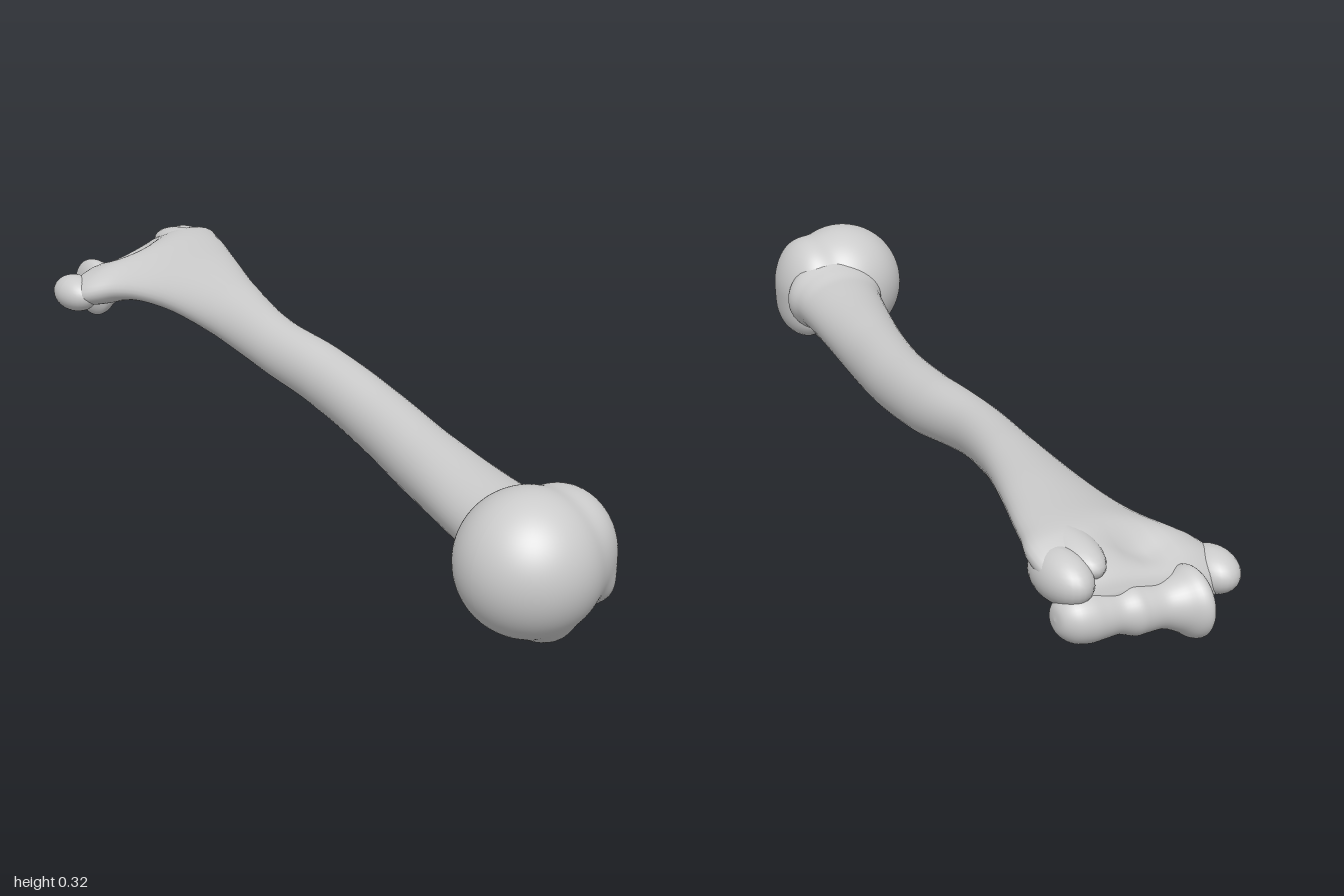
import * as THREE from 'three';

const material = new THREE.MeshStandardMaterial({ color: 0xcccccc });

function part(name, geometry) {
  geometry.computeVertexNormals();
  const mesh = new THREE.Mesh(geometry, material);
  mesh.name = name;
  return mesh;
}

// Shaft sections: z, left edge, right edge, bottom, top, tilt (rise of y per x)
const SECTIONS = [
  [0.86, -0.17, -0.07, 0.12, 0.2, 0],
  [0.8, -0.245, -0.015, 0.07, 0.25, 0],
  [0.75, -0.235, -0.015, 0.08, 0.238, 0],
  [0.7, -0.21, -0.01, 0.088, 0.227, 0],
  [0.6, -0.175, 0.005, 0.09, 0.227, 0],
  [0.4, -0.11, 0.04, 0.092, 0.235, 0],
  [0.2, -0.055, 0.08, 0.11, 0.25, 0],
  [0, -0.02, 0.105, 0.135, 0.27, 0],
  [-0.2, -0.005, 0.11, 0.165, 0.285, 0.1],
  [-0.4, 0.018, 0.16, 0.187, 0.3, 0.2],
  [-0.6, 0.025, 0.235, 0.202, 0.308, 0.22],
  [-0.7, 0.012, 0.275, 0.205, 0.308, 0.22],
  [-0.76, -0.01, 0.297, 0.2, 0.308, 0.22],
  [-0.82, -0.055, 0.32, 0.185, 0.303, 0.22],
  [-0.87, -0.065, 0.318, 0.175, 0.285, 0.2],
  [-0.91, -0.04, 0.3, 0.165, 0.255, 0.17],
  [-0.93, 0.04, 0.25, 0.18, 0.22, 0.1],
];

function shaftGeometry(rings = 110, sides = 40) {
  // Two curves carry the section numbers smoothly along the bone
  const edges = new THREE.CatmullRomCurve3(SECTIONS.map((s) => new THREE.Vector3(s[1], s[2], s[0])), false, 'centripetal');
  const heights = new THREE.CatmullRomCurve3(SECTIONS.map((s) => new THREE.Vector3(s[3], s[4], s[5])), false, 'centripetal');
  const pos = [], index = [];
  for (let i = 0; i <= rings; i++) {
    const e = edges.getPoint(i / rings), h = heights.getPoint(i / rings);
    const cx = (e.x + e.y) / 2, cy = (h.x + h.y) / 2, hw = (e.y - e.x) / 2, hh = (h.y - h.x) / 2;
    const shrink = i === 0 || i === rings ? 0.001 : 1;
    for (let j = 0; j < sides; j++) {
      const t = (j / sides) * Math.PI * 2;
      const x = cx + hw * Math.cos(t) * shrink;
      // Hollows above and below the elbow joint
      const d = ((x - 0.11) / 0.06) ** 2 + ((e.z + 0.86) / 0.045) ** 2;
      const hollow = 1 - 0.6 * Math.exp(-d);
      pos.push(x, cy + hh * Math.sin(t) * shrink * hollow + h.z * (x - cx), e.z);
      if (i < rings) {
        const a = i * sides + j, b = i * sides + ((j + 1) % sides);
        index.push(a, a + sides, b, b, a + sides, b + sides);
      }
    }
  }
  const g = new THREE.BufferGeometry();
  g.setAttribute('position', new THREE.Float32BufferAttribute(pos, 3));
  g.setIndex(index);
  return g;
}

// One skin around several ellipsoids, blended with fillets.
// Each lump: centre x, y, z, radii x, y, z
function blendedGeometry(centre, lumps, fillet, segments) {
  const distance = (p) => lumps.reduce((acc, [x, y, z, a, b, c]) => {
    const u = Math.hypot((p.x - x) / a, (p.y - y) / b, (p.z - z) / c);
    const d = (u - 1) * Math.min(a, b, c);
    const k = Math.max(fillet - Math.abs(acc - d), 0) / fillet;
    return Math.min(acc, d) - k * k * fillet * 0.25;
  }, 10);
  const g = new THREE.SphereGeometry(1, segments, segments / 2);
  const pos = g.attributes.position, dir = new THREE.Vector3(), p = new THREE.Vector3();
  for (let i = 0; i < pos.count; i++) {
    dir.fromBufferAttribute(pos, i).normalize();
    let r = 0.3;
    for (let n = 0; n < 60; n++) {
      p.copy(centre).addScaledVector(dir, r);
      r -= distance(p) * 0.7;
    }
    p.copy(centre).addScaledVector(dir, r);
    pos.setXYZ(i, p.x, p.y, p.z);
  }
  return g;
}

// Spool-shaped joint surface turned about a nearly sideways axis
function spoolGeometry() {
  const profile = [[0, 0.025], [0.045, 0.03], [0.066, 0.045], [0.066, 0.06], [0.052, 0.085], [0.042, 0.115],
    [0.045, 0.15], [0.047, 0.17], [0.04, 0.2], [0.044, 0.23], [0.048, 0.26], [0.043, 0.29], [0.025, 0.31], [0, 0.315]];
  const curve = new THREE.CatmullRomCurve3(profile.map(([r, x]) => new THREE.Vector3(r, x, 0)));
  const points = curve.getPoints(60).map((p) => new THREE.Vector2(Math.max(p.x, 0), p.y));
  const g = new THREE.LatheGeometry(points, 40);
  g.rotateZ(-Math.PI / 2);
  const pos = g.attributes.position;
  for (let i = 0; i < pos.count; i++) {
    const s = (pos.getX(i) - 0.05) / 0.23;
    pos.setY(i, pos.getY(i) + 0.178 + 0.016 * s);
    pos.setZ(i, pos.getZ(i) - 0.932 + 0.025 * s);
  }
  return g;
}

function ellipsoid(name, [x, y, z], [a, b, c]) {
  const mesh = part(name, new THREE.SphereGeometry(1, 28, 18));
  mesh.position.set(x, y, z);
  mesh.scale.set(a, b, c);
  return mesh;
}

export function createModel() {
  const group = new THREE.Group();
  group.name = 'upperArmBone';

  group.add(part('shaft', shaftGeometry()));

  // Ball head with its two bony bumps
  group.add(part('head', blendedGeometry(new THREE.Vector3(-0.16, 0.16, 0.86), [
    [-0.191, 0.159, 0.86, 0.138, 0.138, 0.138],
    [-0.085, 0.165, 0.855, 0.062, 0.095, 0.1],
    [-0.1, 0.21, 0.86, 0.045, 0.062, 0.08],
    [-0.068, 0.1, 0.85, 0.032, 0.042, 0.08],
    [-0.165, 0.04, 0.85, 0.042, 0.038, 0.07],
  ], 0.03, 96)));

  // Elbow end
  group.add(part('elbowSpool', spoolGeometry()));
  group.add(ellipsoid('innerKnob', [-0.035, 0.195, -0.875], [0.046, 0.042, 0.065]));
  group.add(ellipsoid('outerKnob', [0.275, 0.255, -0.86], [0.048, 0.05, 0.08]));
  group.add(ellipsoid('outerRidge', [0.235, 0.275, -0.8], [0.05, 0.042, 0.12]));
  return group;
}
